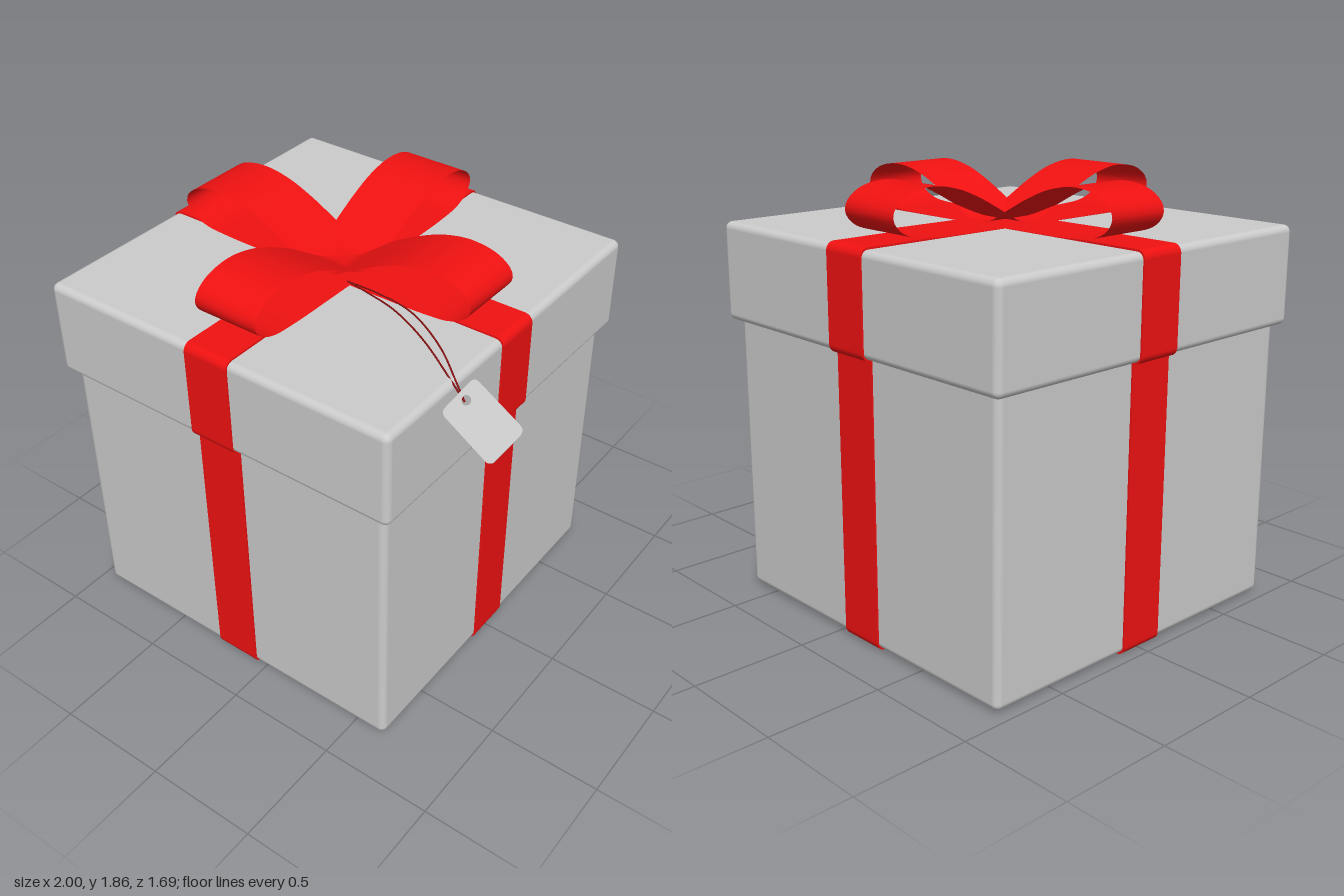
import * as THREE from 'three';
import { RoundedBoxGeometry } from 'three/addons/geometries/RoundedBoxGeometry.js';

const grey = new THREE.MeshStandardMaterial({ color: 0xcccccc });
const greyThin = new THREE.MeshStandardMaterial({ color: 0xcccccc, side: THREE.DoubleSide });
const red = new THREE.MeshStandardMaterial({ color: 0xf01111, side: THREE.DoubleSide });
const cordRed = new THREE.MeshStandardMaterial({ color: 0x8a1010 });

const V = (x, y, z) => new THREE.Vector3(x, y, z);

function add(parent, name, geometry, material) {
  const mesh = new THREE.Mesh(geometry, material);
  mesh.name = name;
  parent.add(mesh);
  return mesh;
}

// Rounded rectangle centred on the origin
function roundedRect(w, h, r) {
  const x = w / 2 - r, y = h / 2 - r;
  const s = new THREE.Shape();
  s.absarc(x, y, r, 0, Math.PI / 2);
  s.absarc(-x, y, r, Math.PI / 2, Math.PI);
  s.absarc(-x, -y, r, Math.PI, Math.PI * 1.5);
  s.absarc(x, -y, r, Math.PI * 1.5, Math.PI * 2);
  s.closePath();
  return s;
}

// Rounded block between two heights
function block(parent, name, size, y0, y1) {
  const geo = new RoundedBoxGeometry(size, y1 - y0, size, 4, 0.03);
  add(parent, name, geo, grey).position.y = (y0 + y1) / 2;
}

// Two crossing ribbon bands wrapped round a block
function bands(parent, name, size, y0, y1) {
  const width = 0.21;
  const shape = roundedRect(size, y1 - y0, 0.036);
  shape.holes.push(roundedRect(size - 0.02, y1 - y0 - 0.02, 0.026));
  const geo = new THREE.ExtrudeGeometry(shape, { depth: width, bevelEnabled: false, curveSegments: 6 });
  geo.translate(0, (y0 + y1) / 2, -width / 2);
  for (let i = 0; i < 2; i++) add(parent, name, geo, red).rotation.y = i * Math.PI / 2;
}

// One bow loop: a flat strip bent along a profile
function loopGeometry() {
  const profile = new THREE.CatmullRomCurve3([
    [0, 1.672], [0.06, 1.68], [0.15, 1.727], [0.28, 1.795], [0.4, 1.842], [0.53, 1.862],
    [0.65, 1.84], [0.71, 1.795], [0.72, 1.755], [0.69, 1.71], [0.62, 1.677],
    [0.5, 1.665], [0.3, 1.662], [0, 1.661],
  ].map(([x, y]) => V(x, y, 0)), false, 'centripetal');
  const geo = new THREE.PlaneGeometry(1, 0.296, 72, 1);
  const p = geo.attributes.position;
  for (let i = 0; i < p.count; i++) {
    const at = profile.getPointAt(THREE.MathUtils.clamp(p.getX(i) + 0.5, 0, 1));
    p.setXYZ(i, at.x, at.y, -p.getY(i));
  }
  geo.computeVertexNormals();
  return geo;
}

export function createModel() {
  const model = new THREE.Group();
  model.name = 'giftBox';

  // Box, lid and their ribbons
  const gift = new THREE.Group();
  gift.name = 'wrappedBox';
  gift.position.x = -0.153;
  model.add(gift);
  block(gift, 'boxBody', 1.6, 0.008, 1.26);
  block(gift, 'lid', 1.68, 1.227, 1.65);
  bands(gift, 'bodyRibbon', 1.615, 0, 1.262);
  bands(gift, 'lidRibbon', 1.694, 1.219, 1.658);

  // Four-loop bow
  const bow = new THREE.Group();
  bow.name = 'bow';
  gift.add(bow);
  const loop = loopGeometry();
  for (let i = 0; i < 4; i++) add(bow, 'bowLoop', loop, red).rotation.y = i * Math.PI / 2;

  // Tag with a punched hole, tilted by its own two edge directions
  const shape = roundedRect(0.275, 0.18, 0.025);
  const hole = new THREE.Path();
  hole.absarc(-0.098, 0.01, 0.019, 0, Math.PI * 2, true);
  shape.holes.push(hole);
  const tag = add(model, 'tag', new THREE.ExtrudeGeometry(shape, {
    depth: 0.003, bevelEnabled: false, curveSegments: 8,
  }), greyThin);
  const u = V(0.25, -0.09, 0.055).normalize();
  const n = u.clone().cross(V(0.07, 0.12, -0.105)).normalize();
  tag.quaternion.setFromRotationMatrix(new THREE.Matrix4().makeBasis(u, n.clone().cross(u), n));
  tag.position.set(0.847, 1.58, 0.487);

  // Two strands of cord from the bow to the tag hole
  const strands = [
    [V(-0.03, 1.662, 0.13), V(0.15, 1.69, 0.165), V(0.35, 1.706, 0.22), V(0.55, 1.682, 0.32), V(0.69, 1.64, 0.42), V(0.757, 1.612, 0.466)],
    [V(-0.03, 1.662, 0.13), V(0.1, 1.673, 0.165), V(0.27, 1.69, 0.225), V(0.48, 1.69, 0.328), V(0.65, 1.65, 0.415), V(0.757, 1.612, 0.466)],
  ];
  for (const points of strands) {
    add(model, 'tagCord', new THREE.TubeGeometry(new THREE.CatmullRomCurve3(points), 40, 0.0035, 6), cordRed);
  }
  return model;
}
